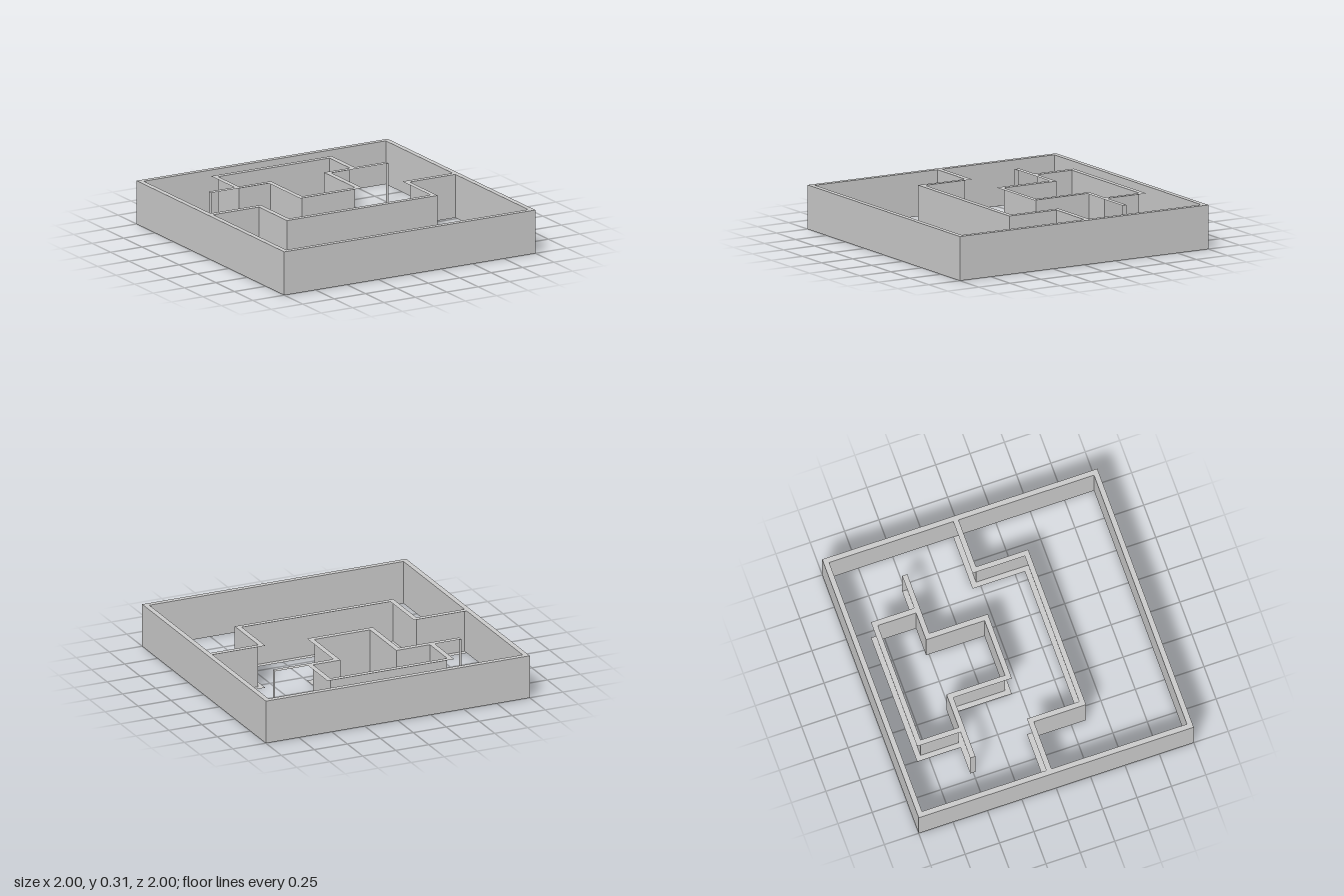
import * as THREE from 'three';

const HEIGHT = 0.31;
const material = new THREE.MeshStandardMaterial({ color: 0xcccccc, side: THREE.DoubleSide, flatShading: true });

// Mirror a half outline across x = 0 to get the whole run of points
const mirrored = half => [...half, ...half.map(([x, z]) => [-x, z]).reverse()];
const square = r => [[-r, -r], [r, -r], [r, r], [-r, r]];

// Flat strip in plan, given as [x, z] points
function addCap(parent, name, outline, holes, y) {
  const toVectors = pts => pts.map(([x, z]) => new THREE.Vector2(x, -z));
  const shape = new THREE.Shape(toVectors(outline));
  holes.forEach(h => shape.holes.push(new THREE.Path(toVectors(h))));
  const geometry = new THREE.ShapeGeometry(shape);
  geometry.rotateX(-Math.PI / 2);
  if (y === 0) { // underside faces down
    const index = geometry.index.array;
    for (let i = 0; i < index.length; i += 3) [index[i], index[i + 1]] = [index[i + 1], index[i]];
    geometry.computeVertexNormals();
  }
  const mesh = new THREE.Mesh(geometry, material);
  mesh.name = name;
  mesh.position.y = y;
  parent.add(mesh);
}

// Upright sheets standing along a path of [x, z] points
function addSheets(parent, name, path, closed = false) {
  const count = closed ? path.length : path.length - 1;
  for (let i = 0; i < count; i++) {
    const [ax, az] = path[i];
    const [bx, bz] = path[(i + 1) % path.length];
    const mesh = new THREE.Mesh(new THREE.PlaneGeometry(Math.hypot(bx - ax, bz - az), HEIGHT), material);
    mesh.name = name;
    mesh.position.set((ax + bx) / 2, HEIGHT / 2, (az + bz) / 2);
    mesh.rotation.y = Math.atan2(az - bz, bx - ax);
    parent.add(mesh);
  }
}

function addWall(model, name, outline, holes, runs) {
  const group = new THREE.Group();
  group.name = name;
  addCap(group, 'wallTop', outline, holes, HEIGHT);
  addCap(group, 'wallBottom', outline, holes, 0);
  runs.forEach(([path, closed]) => addSheets(group, 'wallSide', path, closed));
  model.add(group);
}

export function createModel() {
  const model = new THREE.Group();
  model.name = 'walledCourt';

  // Square perimeter wall
  addWall(model, 'perimeterWall', square(1), [square(0.963)],
    [[square(1), true], [square(0.963), true]]);

  // Stepped partition across the middle, sided towards the front
  const frontEdge = mirrored([[-0.963, -0.022], [-0.6, -0.022], [-0.6, 0.357]]);
  const backEdge = mirrored([[-0.963, -0.06], [-0.563, -0.06], [-0.563, 0.32]]);
  addWall(model, 'middlePartition', [...frontEdge, ...backEdge.reverse()], [], [[frontEdge]]);

  // T-shaped inner room, sided on the inside, with open stubs to left and right
  const roomInside = [
    [-0.467, -0.8], [0.418, -0.8], [0.418, -0.522], [0.21, -0.522], [0.21, -0.097],
    [-0.213, -0.097], [-0.213, -0.522], [-0.467, -0.522],
  ];
  const roomOutside = [
    [-0.504, -0.837], [0.456, -0.837], [0.456, -0.522], [0.705, -0.522], [0.705, -0.485],
    [0.248, -0.485], [0.248, -0.06], [-0.25, -0.06], [-0.25, -0.485],
    [-0.705, -0.485], [-0.705, -0.522], [-0.504, -0.522],
  ];
  const stubEnds = [-0.705, 0.705].map(x => [[[x, -0.522], [x, -0.485]]]);
  addWall(model, 'innerRoom', roomOutside, [roomInside], [[roomInside, true], ...stubEnds]);

  return model;
}
